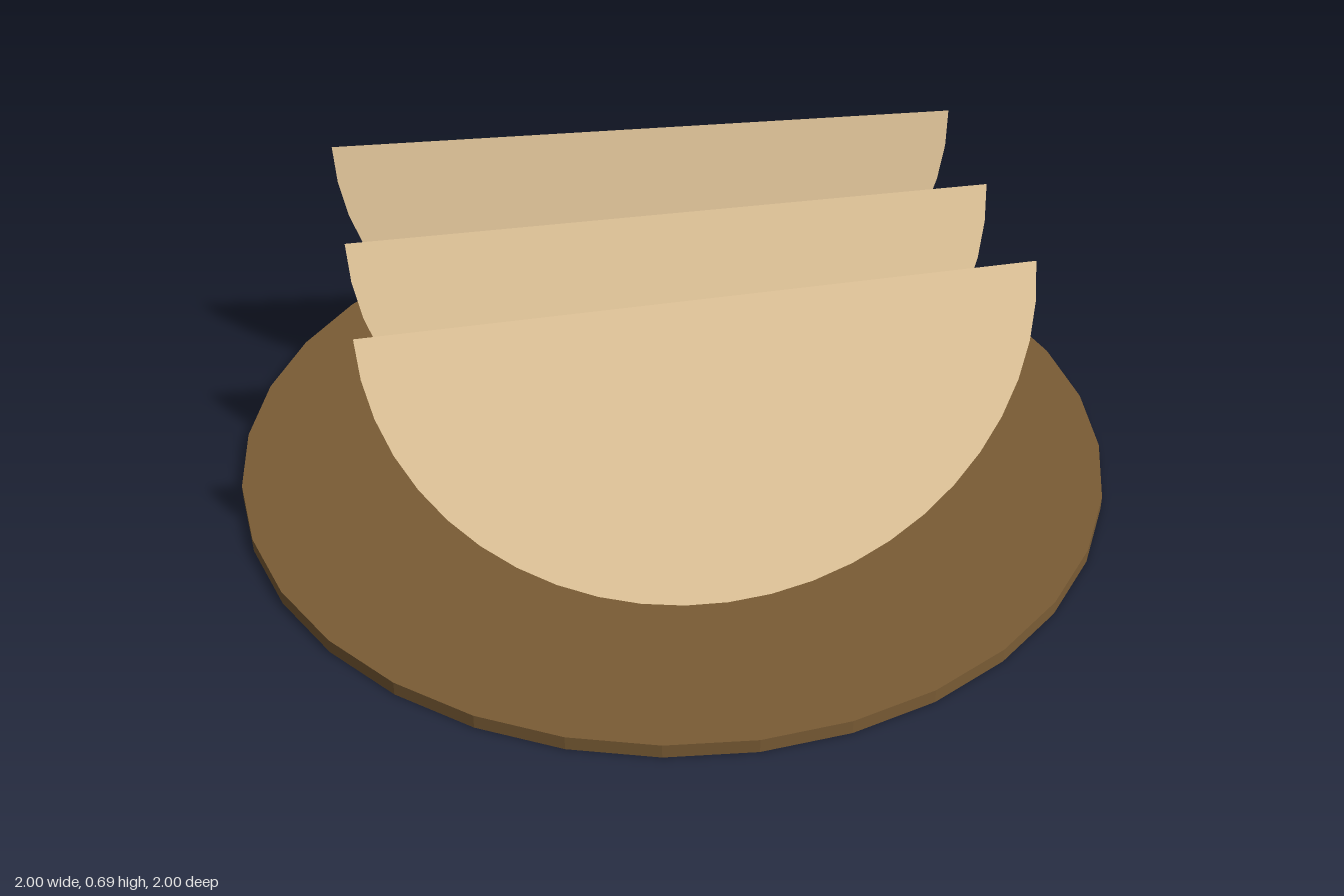
import * as THREE from 'three';

const HALF_WIDTH = 0.715;
const SEGMENTS = 24;

const tan = new THREE.MeshStandardMaterial({ color: 0xe8cb9e });
tan.name = 'tan filling';
const brown = new THREE.MeshStandardMaterial({ color: 0x7a5c35 });
brown.name = 'brown crust';

// Half-round wedge: a sharp straight edge on top, widening evenly to the curved crust below
function wedgeGeometry(height, halfDepth) {
  const point = (i, side) => {
    const a = (i / SEGMENTS) * Math.PI;
    return [HALF_WIDTH * Math.cos(a), -height * Math.sin(a), side * halfDepth * Math.sin(a)];
  };
  const apex = [0, 0, 0];
  const faces = [];
  const crust = [];
  for (let i = 0; i < SEGMENTS; i++) {
    const f0 = point(i, 1), f1 = point(i + 1, 1);
    const b0 = point(i, -1), b1 = point(i + 1, -1);
    faces.push(...apex, ...f1, ...f0, ...apex, ...b0, ...b1);
    crust.push(...f0, ...f1, ...b1, ...f0, ...b1, ...b0);
  }
  const geometry = new THREE.BufferGeometry();
  geometry.setAttribute('position', new THREE.Float32BufferAttribute([...faces, ...crust], 3));
  geometry.addGroup(0, faces.length / 3, 0);
  geometry.addGroup(faces.length / 3, crust.length / 3, 1);
  geometry.computeVertexNormals();
  return geometry;
}

export function createModel() {
  const model = new THREE.Group();
  model.name = 'wedgesOnPlate';

  // Thin round plate
  const plate = new THREE.Mesh(new THREE.CylinderGeometry(1, 1, 0.033, 32).toNonIndexed(), brown);
  plate.geometry.computeVertexNormals();
  plate.name = 'plate';
  plate.position.y = 0.0165;
  model.add(plate);

  // Three wedges in a row, the outer two leaning
  const geometry = wedgeGeometry(0.615, 0.213);
  const wedges = [
    ['frontWedge', [-0.004, 0.676, 0.373], [-0.09, 0.007, 0.014]],
    ['middleWedge', [0, 0.657, 0], [0, 0, 0]],
    ['backWedge', [-0.008, 0.683, -0.338], [0.148, -0.074, 0.023]],
  ];
  for (const [name, position, rotation] of wedges) {
    const wedge = new THREE.Mesh(geometry, [tan, brown]);
    wedge.name = name;
    wedge.position.set(...position);
    wedge.rotation.set(...rotation);
    model.add(wedge);
  }
  return model;
}
